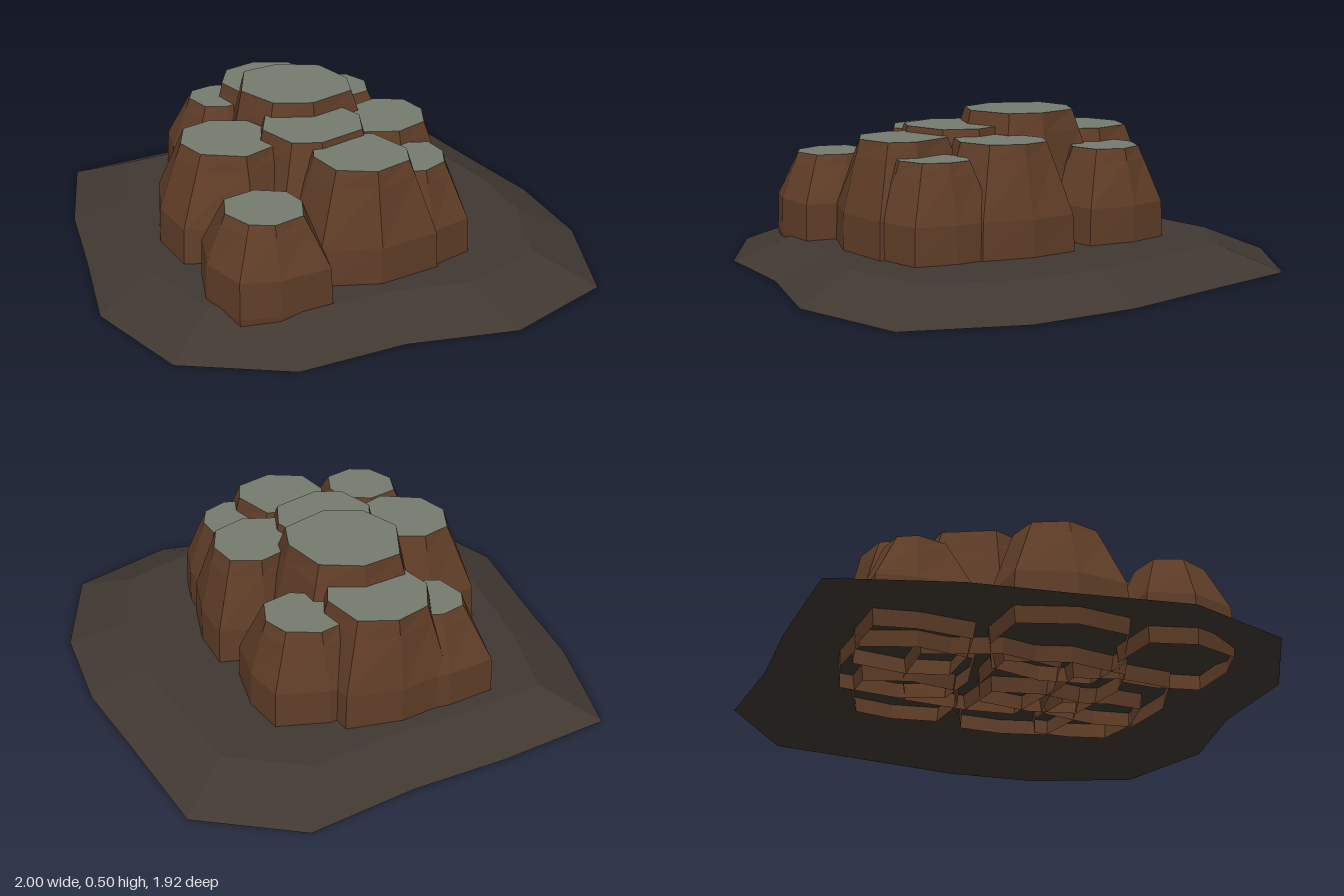
import * as THREE from 'three';

const rock = new THREE.MeshStandardMaterial({ name: 'brown rock', color: 0x5f3d27, flatShading: true, side: THREE.DoubleSide });
const plateau = new THREE.MeshStandardMaterial({ name: 'grey green plateau', color: 0x757c6f, flatShading: true });
const earth = new THREE.MeshStandardMaterial({ name: 'dark earth', color: 0x403831, flatShading: true, side: THREE.DoubleSide });

// Small seeded generator for the uneven outlines
function seeded(seed) {
  let s = seed;
  return () => (s = (s * 16807) % 2147483647) / 2147483647;
}

function faceted(positions) {
  const g = new THREE.BufferGeometry();
  g.setAttribute('position', new THREE.Float32BufferAttribute(positions, 3));
  g.computeVertexNormals();
  return g;
}

// Walls through a stack of rings, listed from the bottom up
function walls(rings) {
  const out = [];
  for (let k = 0; k < rings.length - 1; k++) {
    const lo = rings[k], hi = rings[k + 1], n = lo.length;
    for (let i = 0; i < n; i++) {
      const j = (i + 1) % n;
      out.push(...lo[i], ...hi[i], ...lo[j], ...lo[j], ...hi[i], ...hi[j]);
    }
  }
  return faceted(out);
}

// Flat upward fan that closes a ring
function lid(ring, x, z) {
  const out = [];
  ring.forEach((p, i) => out.push(x, p[1], z, ...ring[(i + 1) % ring.length], ...p));
  return faceted(out);
}

function add(group, name, geometry, material) {
  const mesh = new THREE.Mesh(geometry, material);
  mesh.name = name;
  group.add(mesh);
}

// Low mound shell, open underneath, with an uneven sixteen-sided outline
function makeMound() {
  const group = new THREE.Group();
  group.name = 'mound';
  const radii = [1, 0.92, 0.803, 0.9, 0.957, 0.892, 0.8, 0.85,
    1, 0.83, 0.792, 0.931, 0.96, 0.815, 0.82, 0.893];
  const ring = (scale, y) => radii.map((r, i) => {
    const a = i * Math.PI / 8;
    return [Math.cos(a) * r * scale, y, Math.sin(a) * r * scale];
  });
  const top = ring(0.78, 0.08);
  add(group, 'moundSlope', walls([ring(1, 0), top]), earth);
  add(group, 'moundTop', lid(top, 0, 0), earth);
  return group;
}

// Rock column: foot sunk through the mound, tapered shoulder, short lip and flat cap
function makeColumn([x, z, rx, rz, height, flare], index) {
  const group = new THREE.Group();
  group.name = 'rockColumn' + (index + 1);
  const rand = seeded(917 + index * 7331);
  // Eight corners, reaching furthest along the axes
  const outline = Array.from({ length: 8 }, (_, i) => ({
    a: (i + (rand() - 0.5) * 0.3) * Math.PI / 4,
    r: (i % 2 ? 0.95 : 0.99) + rand() * 0.05,
    f: (i % 2 ? 0.6 : 0.92) + rand() * 0.2,
  }));
  const ring = (y, spread) => outline.map(({ a, r, f }) => [
    x + Math.cos(a) * (rx * r + flare * f * spread), y,
    z + Math.sin(a) * (rz * r + flare * f * spread)]);
  const top = ring(height, 0);
  const rings = [ring(0.025, 0.95), ring(0.08, 1.04), ring(0.2, 0.97),
    ring(0.2 + (height - 0.2) * 0.78, 0.22), top];
  add(group, 'columnSides', walls(rings), rock);
  add(group, 'columnCap', lid(top, x, z), plateau);
  return group;
}

export function createModel() {
  const model = new THREE.Group();
  model.name = 'rockyPlateau';
  model.add(makeMound());
  // centre x, centre z, cap half width, cap half depth, height, flare
  const columns = [
    [-0.10, -0.045, 0.20, 0.188, 0.50, 0.10],
    [0.05, 0.14, 0.17, 0.175, 0.455, 0.09],
    [-0.17, 0.297, 0.165, 0.15, 0.42, 0.10],
    [0.27, 0.245, 0.16, 0.148, 0.435, 0.09],
    [0.39, 0.105, 0.105, 0.128, 0.385, 0.09],
    [0.22, -0.07, 0.142, 0.155, 0.43, 0.085],
    [-0.09, -0.345, 0.132, 0.117, 0.385, 0.085],
    [-0.285, -0.205, 0.165, 0.172, 0.43, 0.08],
    [-0.42, -0.09, 0.11, 0.108, 0.38, 0.11],
    [0.10, 0.567, 0.13, 0.12, 0.355, 0.085],
  ];
  columns.forEach((c, i) => model.add(makeColumn(c, i)));
  return model;
}
